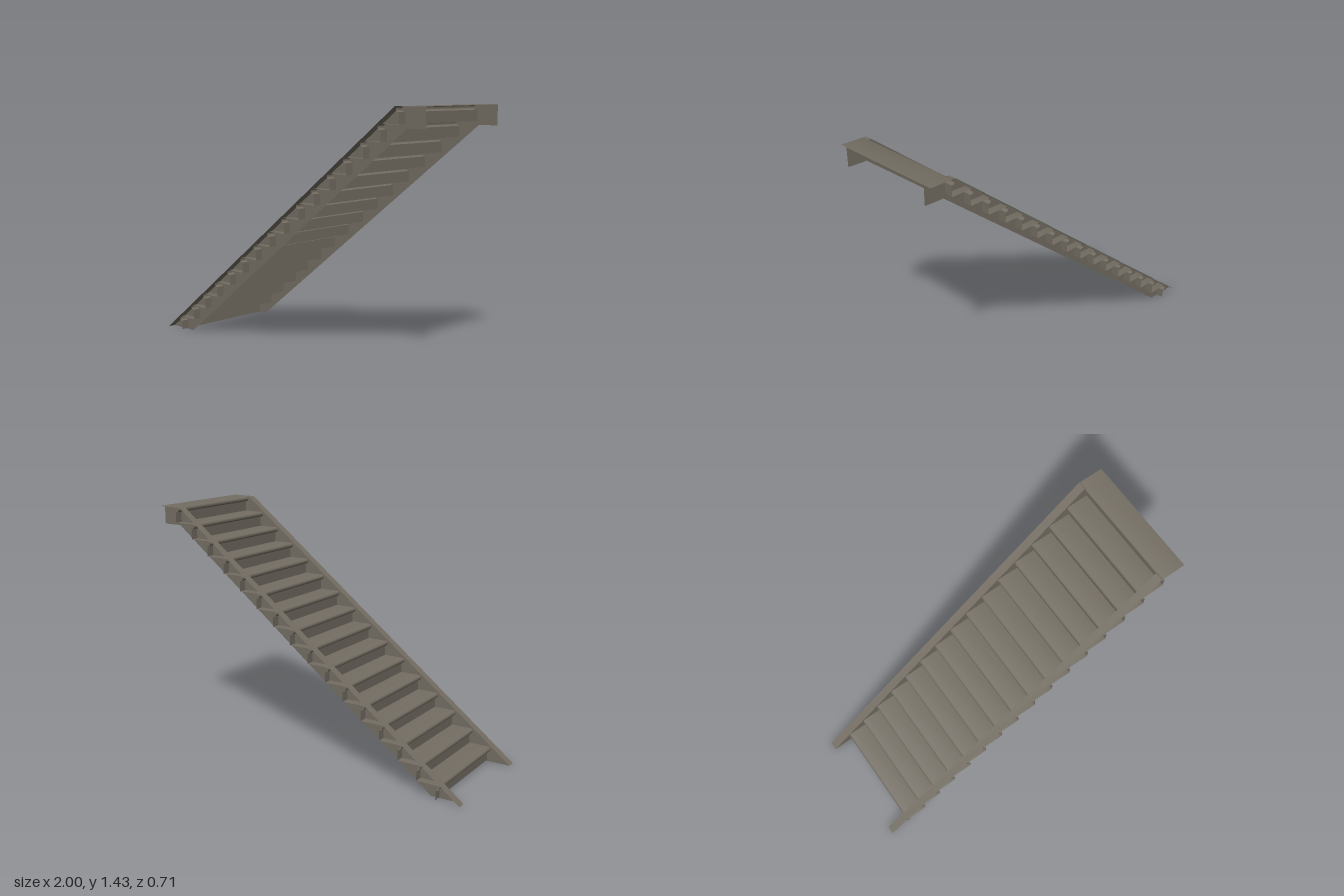
import * as THREE from 'three';
import { toCreasedNormals } from 'three/addons/utils/BufferGeometryUtils.js';

const STEPS = 16, RISE = 1.43 / STEPS, RUN = 0.1155;
const FIRST_NOSE = -0.88, HALF_WIDTH = 0.357, WEB_Z = 0.308;
const NOSE_R = 0.0145, INSET = 0.02;

// Folded sheet: a profile of [x, y] points swept from z0 to z1
function sheet(profile, z0, z1) {
  const pos = [], index = [];
  profile.forEach(([x, y], i) => {
    pos.push(x, y, z0, x, y, z1);
    if (i > 0) {
      const a = 2 * (i - 1);
      index.push(a, a + 1, a + 3, a, a + 3, a + 2);
    }
  });
  const g = new THREE.BufferGeometry();
  g.setAttribute('position', new THREE.Float32BufferAttribute(pos, 3));
  g.setIndex(index);
  return toCreasedNormals(g, 0.6);
}

// Riser, rounded nosing and tread of one step, with the nose at x = 0 and the tread at y = 0
function stepProfile(riserBottom, treadEnd) {
  const pts = [[INSET, riserBottom], [INSET, -2 * NOSE_R]];
  for (let i = 0; i <= 10; i++) {
    const a = -Math.PI / 2 - (i / 10) * Math.PI;
    pts.push([NOSE_R + NOSE_R * Math.cos(a), -NOSE_R + NOSE_R * Math.sin(a)]);
  }
  pts.push([treadEnd, 0]);
  return pts;
}

export function createModel() {
  const group = new THREE.Group();
  const steel = new THREE.MeshStandardMaterial({ color: 0x736d62, side: THREE.DoubleSide });
  steel.name = 'paintedSteel';
  const add = (name, geometry, parent = group) => {
    const m = new THREE.Mesh(geometry, steel);
    m.name = name;
    parent.add(m);
    return m;
  };

  // Steps, the last one widening into the landing
  for (let k = 1; k <= STEPS; k++) {
    const nose = FIRST_NOSE + RUN * (k - 1);
    const last = k === STEPS;
    const bottom = k === 1 ? -RISE + 0.006 : -RISE;
    const profile = stepProfile(bottom, last ? 1 - nose : RUN + INSET);
    const step = add(last ? 'landing' : 'step', sheet(profile, -HALF_WIDTH, HALF_WIDTH));
    step.position.set(nose, RISE * k, 0);
  }

  // Stringers: an upright web with an outward flange along its top
  const webShape = new THREE.Shape([
    [-1, 0], [-0.81, 0], [0.885, 1.32], [1, 1.32], [1, 1.43], [0.845, 1.43],
  ].map(([x, y]) => new THREE.Vector2(x, y)));
  for (const side of [1, -1]) {
    const stringer = new THREE.Group();
    stringer.name = side > 0 ? 'frontStringer' : 'backStringer';
    group.add(stringer);
    add('web', new THREE.ShapeGeometry(webShape), stringer).position.z = side * WEB_Z;
    const zs = [side * WEB_Z, side * HALF_WIDTH].sort((a, b) => a - b);
    add('flange', sheet([[-1, 0], [0.845, 1.43], [0.86, 1.43]], zs[0], zs[1]), stringer);
  }
  return group;
}
